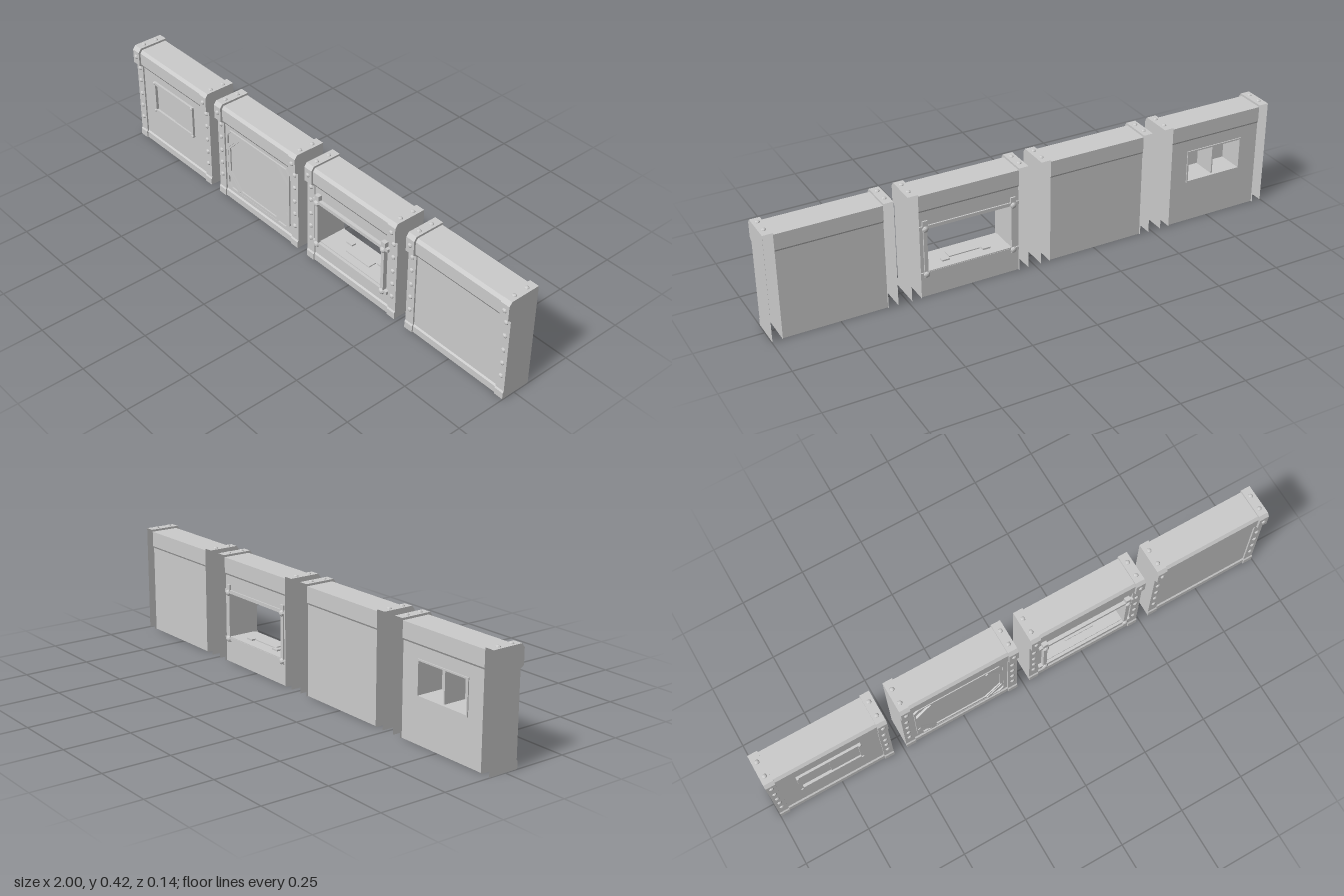
import * as THREE from 'three';

const mat = new THREE.MeshStandardMaterial({ color: 0xcccccc, flatShading: true, side: THREE.DoubleSide });
const HALF = 0.23, INNER = 0.193, FACE = 0.043, BACK = -0.06;

// Side profiles as [z, y], from the bottom front up and over to the back
const postProfile = [[0.053, 0], [0.053, 0.026], [0.049, 0.032], [0.049, 0.33], [0.063, 0.34],
  [0.063, 0.397], [0.052, 0.412], [-0.067, 0.412]];
const capProfile = [[FACE, 0.325], [0.055, 0.342], [0.055, 0.392], [0.046, 0.404], [-0.064, 0.404], [-0.064, 0.345], [BACK, 0.338]];
const plinthProfile = [[0.048, 0], [0.048, 0.026], [FACE, 0.032]];

function add(parent, name, geo, x = 0, y = 0, z = 0) {
  const m = new THREE.Mesh(geo, mat);
  m.name = name;
  m.position.set(x, y, z);
  parent.add(m);
  return m;
}

const box = (p, name, w, h, d, x, y, z) => add(p, name, new THREE.BoxGeometry(w, h, d), x, y, z);

// Sheet made by drawing a side profile along x
function sheet(profile, x0, x1) {
  const pos = [], idx = [];
  profile.forEach(([z, y], i) => {
    pos.push(x0, y, z, x1, y, z);
    if (i) {
      const a = 2 * i - 2;
      idx.push(a, a + 1, a + 3, a, a + 3, a + 2);
    }
  });
  const g = new THREE.BufferGeometry();
  g.setAttribute('position', new THREE.Float32BufferAttribute(pos, 3));
  g.setIndex(idx);
  const flat = g.toNonIndexed();
  flat.computeVertexNormals();
  return flat;
}

// Rectangle with cut corners
function outline(x0, x1, y0, y1, cut = 0) {
  const pts = cut ? [[x0 + cut, y0], [x1 - cut, y0], [x1, y0 + cut], [x1, y1 - cut],
    [x1 - cut, y1], [x0 + cut, y1], [x0, y1 - cut], [x0, y0 + cut]]
    : [[x0, y0], [x1, y0], [x1, y1], [x0, y1]];
  return pts.map(([x, y]) => new THREE.Vector2(x, y));
}

function ring(outer, inner, depth) {
  const s = new THREE.Shape(outer);
  s.holes.push(new THREE.Path(inner));
  return new THREE.ExtrudeGeometry(s, { depth, bevelEnabled: false });
}

// Domed low rivet whose axis points along +z or +y
function rivet(parent, x, y, z, r, axis = 'z', dir = 1) {
  const g = new THREE.SphereGeometry(r, 8, 3, 0, Math.PI * 2, 0, Math.PI / 2);
  g.scale(1, 0.65, 1);
  if (axis === 'z') g.rotateX(dir * Math.PI / 2);
  add(parent, 'rivet', g, x, y, z);
}

function post(wall, side) {
  const g = new THREE.Group();
  g.name = side > 0 ? 'leftPost' : 'rightPost';
  add(g, 'postCover', sheet(postProfile, side > 0 ? INNER : -HALF, side > 0 ? HALF : -INNER));
  const shape = new THREE.Shape([...postProfile, [-0.067, 0]].map(([z, y]) => new THREE.Vector2(-z, y)));
  // Outer plate runs the full depth, inner plate closes the step to the wall
  for (const x of [HALF, INNER]) {
    const plate = new THREE.ShapeGeometry(shape);
    plate.rotateY(Math.PI / 2);
    add(g, 'postSide', plate, side * x);
  }
  const x = side * (HALF + INNER) / 2;
  for (const y of [0.09, 0.145, 0.2, 0.26, 0.315]) rivet(g, x, y, 0.049, 0.009);
  rivet(g, x, 0.372, 0.063, 0.009);
  for (const z of [0.024, -0.032]) rivet(g, x, 0.412, z, 0.009, 'y');
  wall.add(g);
}

// Hollow wall section; hole = [halfWidth, y0, y1] cuts an opening right through
function wallSection(root, name, x, hole) {
  const wall = new THREE.Group();
  wall.name = name;
  wall.position.x = x;
  root.add(wall);
  add(wall, 'topCap', sheet(capProfile, -INNER, INNER));
  add(wall, 'plinth', sheet(plinthProfile, -INNER, INNER));
  for (const [part, y0, y1, z] of [['frontPanel', 0.032, 0.325, FACE], ['backPanel', 0, 0.338, BACK]]) {
    const s = new THREE.Shape(outline(-INNER, INNER, y0, y1));
    if (hole) s.holes.push(new THREE.Path(outline(-hole[0], hole[0], hole[1], hole[2])));
    add(wall, part, new THREE.ShapeGeometry(s), 0, 0, z);
  }
  if (hole) {
    const [w, y0, y1] = hole, t = 0.006;
    add(wall, 'windowReveal', ring(outline(-w - t, w + t, y0 - t, y1 + t), outline(-w, w, y0, y1), FACE - BACK + 0.008), 0, 0, BACK - 0.004);
  }
  post(wall, 1);
  post(wall, -1);
  return wall;
}

function slidingWindow(wall) {
  const w = 0.116, y0 = 0.17, y1 = 0.288, mid = (y0 + y1) / 2;
  add(wall, 'windowFrame', ring(outline(-w - 0.008, w + 0.008, y0 - 0.008, y1 + 0.008),
    outline(-w + 0.003, w - 0.003, y0 + 0.003, y1 - 0.003), 0.009), 0, 0, FACE);
  box(wall, 'rightPane', w, y1 - y0, 0.005, -w / 2, mid, 0.038);
  box(wall, 'leftPane', w, y1 - y0, 0.005, w / 2, mid, 0.043);
  box(wall, 'divider', 0.005, y1 - y0, 0.09, 0, mid, -0.008);
  for (const sx of [-1, 1]) for (const y of [y0 - 0.003, y1 + 0.003]) rivet(wall, sx * (w + 0.003), y, FACE + 0.009, 0.006);
}

function hatch(wall) {
  // Raised rim with cut corners, and a diagonal brace across each corner
  add(wall, 'hatchRim', ring(outline(-0.18, 0.18, 0.048, 0.312, 0.02), outline(-0.174, 0.174, 0.054, 0.306, 0.018), 0.006), 0, 0, FACE);
  add(wall, 'hatchPanel', ring(outline(-0.174, 0.174, 0.054, 0.306, 0.065), outline(-0.162, 0.162, 0.066, 0.294, 0.062), 0.005), 0, 0, FACE);
  for (const sx of [-1, 1]) for (const sy of [-1, 1]) {
    const brace = box(wall, 'cornerBrace', 0.088, 0.013, 0.009, sx * 0.14, 0.18 + sy * 0.092, FACE + 0.004);
    brace.rotation.z = -sx * sy * Math.PI / 4;
  }
}

function openWindow(wall) {
  // Crossed bars with a bolt on every corner, front and back
  for (const [dir, z] of [[1, 0.051], [-1, -0.062]]) {
    const d = dir > 0 ? 0.017 : 0.008;
    for (const y of [0.092, 0.277]) box(wall, 'windowRail', 0.385, 0.013, d * 0.8, 0, y, z);
    for (const sx of [-1, 1]) {
      box(wall, 'windowStile', 0.014, 0.22, d, sx * 0.17, 0.19, z);
      box(wall, 'stileEar', 0.02, 0.024, d, sx * 0.17, 0.291, z);
      for (const y of [0.092, 0.272]) rivet(wall, sx * 0.17, y, z + dir * d / 2, 0.012, 'z', dir);
    }
  }
  // Sill plates
  box(wall, 'sillPlate', 0.12, 0.004, 0.035, 0, 0.105, 0);
  for (const sx of [-1, 1]) box(wall, 'sillCatch', 0.03, 0.006, 0.018, sx * 0.08, 0.106, -0.025);
}

export function createModel() {
  const root = new THREE.Group();
  root.name = 'wallSet';
  slidingWindow(wallSection(root, 'slidingWindowWall', -0.768, [0.114, 0.17, 0.288]));
  hatch(wallSection(root, 'hatchWall', -0.256));
  openWindow(wallSection(root, 'openWindowWall', 0.256, [0.163, 0.102, 0.27]));
  wallSection(root, 'plainWall', 0.768);
  return root;
}
